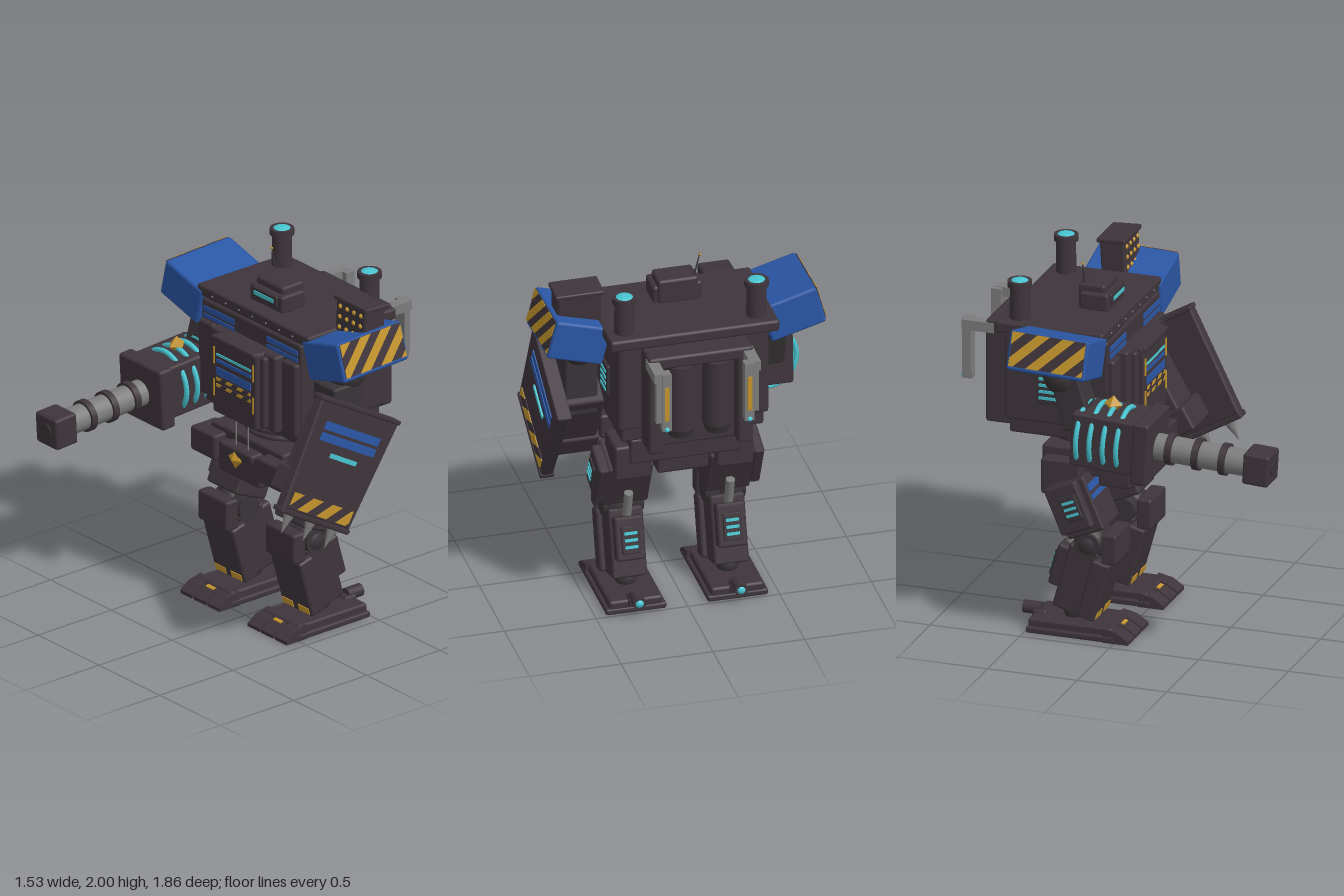
import * as THREE from 'three';
import { RoundedBoxGeometry } from 'three/addons/geometries/RoundedBoxGeometry.js';

const mat = (name, color) => Object.assign(new THREE.MeshStandardMaterial({ color }), { name });

export function createModel() {
  const armor = mat('armor', 0x3e353b), frame = mat('frame', 0x383337), blue = mat('blue paint', 0x2a56a4);
  const yellow = mat('yellow paint', 0xc4942c), cyan = mat('cyan glow', 0x48c4d0), steel = mat('steel', 0x7c7c7c);

  const put = (parent, name, geo, m, p, r = [0, 0, 0]) => {
    const mesh = new THREE.Mesh(geo, m);
    mesh.name = name;
    mesh.position.set(...p);
    mesh.rotation.set(...r);
    parent.add(mesh);
    return mesh;
  };
  const group = (parent, name, p = [0, 0, 0], r = [0, 0, 0]) => {
    const g = new THREE.Group();
    g.name = name;
    g.position.set(...p);
    g.rotation.set(...r);
    parent.add(g);
    return g;
  };
  // Chamfered block, plain block and round part helpers
  const block = (g, n, m, s, p, r) => put(g, n, new RoundedBoxGeometry(...s, 1, Math.min(0.015, Math.min(...s) * 0.3)), m, p, r);
  const box = (g, n, m, s, p, r) => put(g, n, new THREE.BoxGeometry(...s), m, p, r);
  const cyl = (g, n, m, r1, r2, h, p, r) => put(g, n, new THREE.CylinderGeometry(r1, r2, h, 24), m, p, r);
  const ball = (g, n, m, r, p) => put(g, n, new THREE.SphereGeometry(r, 24, 16), m, p);
  const shape = pts => new THREE.Shape(pts.map(a => new THREE.Vector2(...a)));
  const alongZ = [Math.PI / 2, 0, 0];

  // Keep the part of a polygon where sign * x <= limit
  const clip = (pts, sign, limit) => pts.flatMap((a, i) => {
    const b = pts[(i + 1) % pts.length], da = limit - sign * a[0], db = limit - sign * b[0], out = [];
    if (da >= 0) out.push(a);
    if (da * db < 0) { const t = da / (da - db); out.push([a[0] + (b[0] - a[0]) * t, a[1] + (b[1] - a[1]) * t]); }
    return out;
  });
  // Thin warning plate with diagonal stripes, facing local +z
  const hazard = (parent, w, h, pitch, p, r) => {
    const g = group(parent, 'hazardPlate', p, r);
    box(g, 'plateBase', armor, [w, h, 0.006], [0, 0, 0]);
    const lean = h * 0.5;
    for (let x = -w / 2 - lean; x < w / 2 + lean; x += pitch) {
      const stripe = [[x - lean, -h / 2], [x - lean + pitch / 2, -h / 2], [x + lean + pitch / 2, h / 2], [x + lean, h / 2]];
      const q = clip(clip(stripe, 1, w / 2), -1, w / 2);
      if (q.length > 2) put(g, 'stripe', new THREE.ExtrudeGeometry(shape(q), { depth: 0.004, bevelEnabled: false }), yellow, [0, 0, 0.002]);
    }
  };

  const model = new THREE.Group();
  model.name = 'walkerRobot';

  // Torso
  const torso = group(model, 'torso');
  block(torso, 'hull', armor, [0.82, 0.5, 0.58], [0, 1.43, -0.33]);
  block(torso, 'lowerHull', armor, [0.78, 0.1, 0.56], [0, 1.15, -0.32]);
  block(torso, 'topDeck', armor, [0.92, 0.065, 0.605], [0, 1.71, -0.352]);
  block(torso, 'chestPlate', armor, [0.54, 0.44, 0.08], [0, 1.36, -0.02]);
  block(torso, 'chestDoorSurround', armor, [0.43, 0.41, 0.08], [0, 1.36, 0.01]);
  block(torso, 'chestDoor', armor, [0.36, 0.44, 0.1], [0, 1.36, 0.027]);
  block(torso, 'chestBrow', armor, [0.35, 0.03, 0.06], [0, 1.57, 0.06]);
  box(torso, 'chestLight', cyan, [0.28, 0.014, 0.008], [0, 1.48, 0.078]);
  for (const y of [1.445, 1.385]) box(torso, 'chestBar', blue, [0.28, y > 1.4 ? 0.02 : 0.045, 0.008], [0, y, 0.078]);
  hazard(torso, 0.28, 0.018, 0.09, [0, 1.342, 0.078]);
  hazard(torso, 0.28, 0.018, 0.09, [0, 1.305, 0.078]);
  box(torso, 'latch', yellow, [0.06, 0.014, 0.008], [-0.05, 1.125, -0.037]);
  for (const s of [-1, 1]) {
    for (const y of [1.285, 1.47]) box(torso, 'bracket', yellow, [0.012, 0.095, 0.009], [s * 0.16, y, 0.078]);
    for (const [y, h] of [[1.63, 0.03], [1.59, 0.022]]) box(torso, 'chestStripe', blue, [0.25, h, 0.008], [s * 0.26, y, -0.038]);
    block(torso, 'chestRib', armor, [0.12, 0.42, 0.05], [s * 0.34, 1.36, -0.035]);
    block(torso, 'sideVent', frame, [0.03, 0.18, 0.13], [s * 0.41, 1.385, -0.37]);
    for (let i = 0; i < 4; i++) box(torso, 'ventLight', cyan, [0.008, 0.016, 0.1], [s * 0.426, 1.33 + i * 0.036, -0.37]);
  }
  for (let i = 0; i < 7; i++) ball(torso, 'rivet', steel, 0.006, [-0.33 + i * 0.11, 1.708, -0.05]);

  // Head cabin and antenna
  const head = group(model, 'head');
  block(head, 'cabin', armor, [0.27, 0.1, 0.16], [0, 1.785, -0.22]);
  block(head, 'cabinRoof', armor, [0.22, 0.14, 0.15], [0, 1.805, -0.24]);
  block(head, 'visorFrame', frame, [0.2, 0.06, 0.03], [0, 1.8, -0.143]);
  box(head, 'visor', cyan, [0.16, 0.022, 0.006], [0, 1.8, -0.127]);
  cyl(head, 'antenna', frame, 0.003, 0.005, 0.14, [-0.107, 1.932, -0.285], [0, 0, 0.25]);
  ball(head, 'antennaTip', yellow, 0.007, [-0.124, 1.993, -0.285]);

  // Chimneys, backpack, tanks and rear hooks
  const back = group(model, 'backpack');
  block(back, 'packCore', armor, [0.56, 0.57, 0.09], [0, 1.385, -0.645]);
  block(back, 'packRoof', armor, [0.57, 0.07, 0.17], [0, 1.64, -0.685]);
  for (const s of [-1, 1]) {
    const x = s * 0.36;
    cyl(back, 'chimney', armor, 0.052, 0.055, 0.2, [x, 1.83, -0.55]);
    cyl(back, 'chimneyCap', armor, 0.065, 0.065, 0.035, [x, 1.935, -0.55]);
    put(back, 'chimneyGlow', new THREE.SphereGeometry(0.05, 24, 8, 0, Math.PI * 2, 0, Math.PI / 2), cyan, [x, 1.945, -0.55]).scale.y = 0.35;
    block(back, 'packWall', armor, [0.085, 0.57, 0.17], [s * 0.243, 1.385, -0.685]);
    cyl(back, 'tank', armor, 0.08, 0.08, 0.38, [s * 0.1, 1.42, -0.715]);
    cyl(back, 'tankNozzle', frame, 0.08, 0.065, 0.05, [s * 0.1, 1.21, -0.715]);
    cyl(back, 'tankGlow', cyan, 0.055, 0.055, 0.006, [s * 0.1, 1.183, -0.715]);
    box(back, 'hookArm', steel, [0.06, 0.055, 0.18], [s * 0.26, 1.63, -0.81]);
    box(back, 'hookPost', steel, [0.05, 0.34, 0.055], [s * 0.225, 1.485, -0.885]);
    box(back, 'hookGuard', steel, [0.03, 0.28, 0.04], [s * 0.265, 1.5, -0.875]);
    box(back, 'hookStripe', yellow, [0.025, 0.2, 0.006], [s * 0.225, 1.48, -0.914]);
    ball(back, 'hookLight', cyan, 0.014, [s * 0.225, 1.325, -0.912]);
  }

  // Missile rack
  const rack = group(model, 'missileRack', [0.56, 1.8, -0.32], [-0.06, 0, 0]);
  block(rack, 'rackBody', armor, [0.24, 0.24, 0.14], [0, 0, 0]);
  block(rack, 'rackLid', armor, [0.265, 0.025, 0.16], [0, 0.11, 0]);
  for (let i = 0; i < 4; i++) for (let j = 0; j < 3; j++)
    ball(rack, 'missileTip', yellow, 0.014, [-0.083 + i * 0.056, -0.045 + j * 0.058, 0.066]);

  // Shoulders
  for (const s of [-1, 1]) {
    const pad = group(model, 'shoulderPad', [s * 0.585, 1.655, -0.265], [0.04, 0, s * 0.27]);
    block(pad, 'padBody', blue, [0.31, 0.215, 0.44], [0, 0, 0]);
    hazard(pad, 0.41, 0.185, 0.14, [s * 0.156, 0.008, 0], [0, s * Math.PI / 2, 0]);
    ball(model, 'shoulderJoint', frame, 0.105, [s * 0.53, 1.52, -0.25]);
  }

  // Gun arm
  const gun = group(model, 'gunArm', [-0.525, 1.2, 0], [0.06, 0, 0]);
  block(gun, 'upperArm', frame, [0.16, 0.34, 0.16], [0, 0.2, -0.2], [-0.35, 0, 0]);
  block(gun, 'gunBody', armor, [0.29, 0.3, 0.36], [0, 0.01, 0.02]);
  block(gun, 'gunCollar', armor, [0.345, 0.345, 0.09], [0, 0, 0.235]);
  for (let i = 0; i < 4; i++)
    put(gun, 'coil', new THREE.TorusGeometry(0.17, 0.014, 8, 40), cyan, [0, 0.01, -0.12 + i * 0.075]);
  put(gun, 'gunGem', new THREE.OctahedronGeometry(0.05), yellow, [0, 0.19, 0.02]);
  cyl(gun, 'barrel', steel, 0.072, 0.072, 0.56, [0, 0, 0.53], alongZ);
  for (const z of [0.36, 0.51, 0.66]) cyl(gun, 'barrelRing', armor, 0.087, 0.087, 0.036, [0, 0, z], alongZ);
  block(gun, 'muzzle', armor, [0.175, 0.175, 0.145], [0, 0, 0.855]);
  cyl(gun, 'muzzleBore', frame, 0.045, 0.045, 0.008, [0, 0, 0.928], alongZ);

  // Shield arm
  block(model, 'upperArm', frame, [0.18, 0.36, 0.2], [0.525, 1.3, -0.2]);
  const arm = group(model, 'shieldArm', [0, 1.09, -0.06], [-0.52, 0, 0]);
  block(arm, 'forearm', armor, [0.22, 0.42, 0.25], [0.51, 0.03, -0.05]);
  block(arm, 'fist', armor, [0.25, 0.14, 0.3], [0.51, -0.18, -0.04]);
  const outline = shape([[-0.25, -0.3], [0.25, -0.3], [0.29, 0.31], [-0.29, 0.31]]);
  put(arm, 'shield', new THREE.ExtrudeGeometry(outline, { depth: 0.05, bevelEnabled: true, bevelSize: 0.01, bevelThickness: 0.008, bevelSegments: 1 }), armor, [0.64, 0, 0], [0, Math.PI / 2, 0]);
  block(arm, 'shieldTopRim', armor, [0.08, 0.025, 0.61], [0.665, 0.312, 0]);
  block(arm, 'shieldBottomRim', armor, [0.08, 0.03, 0.53], [0.665, -0.32, 0]);
  for (const v of [0.18, 0.118]) box(arm, 'shieldStripe', blue, [0.008, 0.045, 0.42], [0.7, v, 0]);
  box(arm, 'shieldLight', cyan, [0.009, 0.025, 0.2], [0.703, 0.034, -0.01]);
  hazard(arm, 0.46, 0.085, 0.15, [0.699, -0.25, 0], [0, Math.PI / 2, 0]);
  for (const z of [-0.17, 0, 0.17])
    put(arm, 'spike', new THREE.ConeGeometry(0.032, 0.12, 12), steel, [0.665, -0.385, z], [Math.PI, 0, 0]);

  // Waist and pelvis
  const hips = group(model, 'pelvis');
  cyl(hips, 'waistCore', frame, 0.19, 0.19, 0.16, [0, 1.06, -0.28]);
  for (let i = 0; i < 3; i++) put(hips, 'waistRing', new THREE.TorusGeometry(0.205, 0.018, 8, 40), armor, [0, 1.03 + i * 0.034, -0.28], alongZ);
  block(hips, 'pelvisBlock', armor, [0.6, 0.15, 0.44], [0, 0.945, -0.23]);
  block(hips, 'pelvisCore', armor, [0.28, 0.16, 0.34], [0, 0.85, -0.24]);
  block(hips, 'pelvisFront', armor, [0.34, 0.17, 0.1], [0, 0.88, -0.005]);
  block(hips, 'pelvisLip', armor, [0.26, 0.05, 0.11], [0, 0.95, 0.01]);
  put(hips, 'pelvisGem', new THREE.OctahedronGeometry(0.055), yellow, [-0.01, 0.915, 0.06]).scale.z = 0.5;
  for (const s of [-1, 1]) {
    block(hips, 'hipGuard', armor, [0.2, 0.14, 0.18], [s * 0.27, 0.92, -0.02]);
    cyl(hips, 'waistPiston', steel, 0.004, 0.004, 0.16, [s * 0.05, 1.04, 0.02]);
  }

  // Legs, with the outer side along local +x
  const toeProfile = shape([[0.08, 0], [0.08, 0.02], [0.02, 0.06], [-0.06, 0.078], [-0.06, 0]]);
  for (const s of [-1, 1]) {
    const leg = group(model, s > 0 ? 'leftLeg' : 'rightLeg', [s * 0.277, 0, 0]);
    leg.scale.x = s;
    block(leg, 'hip', armor, [0.2, 0.2, 0.22], [0, 0.87, -0.32]);
    const thigh = group(leg, 'thigh', [0, 0.72, -0.225], [-0.4, 0, 0]);
    block(thigh, 'thighArmor', armor, [0.25, 0.31, 0.22], [0, 0, 0]);
    block(thigh, 'thighSidePlate', armor, [0.06, 0.27, 0.19], [0.145, 0.02, -0.02]);
    block(thigh, 'thighVent', frame, [0.03, 0.14, 0.1], [0.17, 0.02, 0]);
    for (const y of [-0.015, 0.02, 0.055]) box(thigh, 'thighLight', cyan, [0.008, 0.015, 0.07], [0.186, y, 0]);
    for (const [y, h] of [[0.085, 0.038], [0.033, 0.025]]) box(thigh, 'thighStripe', blue, [0.235, h, 0.008], [0, y, 0.112]);
    ball(leg, 'kneeJoint', frame, 0.093, [0.03, 0.51, -0.17]);
    cyl(leg, 'kneeAxle', frame, 0.07, 0.07, 0.22, [0, 0.51, -0.17], [0, 0, Math.PI / 2]);
    block(leg, 'kneePlate', armor, [0.24, 0.17, 0.085], [0, 0.505, -0.045]);
    cyl(leg, 'piston', steel, 0.024, 0.024, 0.22, [0, 0.53, -0.305], [-0.25, 0, 0]);
    const shin = group(leg, 'shin', [0, 0.265, -0.13], [0.27, 0, 0]);
    block(shin, 'shinArmor', armor, [0.25, 0.34, 0.1], [0, 0, 0]);
    block(shin, 'shinCore', armor, [0.19, 0.38, 0.17], [0, 0.01, -0.115]);
    block(shin, 'calf', armor, [0.16, 0.24, 0.09], [0, 0.045, -0.215]);
    block(shin, 'calfVent', frame, [0.1, 0.15, 0.02], [0, 0.04, -0.263]);
    for (let i = 0; i < 3; i++) box(shin, 'calfLight', cyan, [0.07, 0.016, 0.008], [0, 0.003 + i * 0.038, -0.275]);
    for (const x of [-0.065, 0.065]) box(shin, 'shinMark', yellow, [0.085, 0.038, 0.006], [x, -0.137, 0.051]);
    // Foot
    const foot = group(leg, 'foot');
    ball(foot, 'ankle', frame, 0.06, [0, 0.1, -0.27]);
    block(foot, 'sole', armor, [0.33, 0.035, 0.49], [0, 0.018, -0.245]);
    block(foot, 'footBody', armor, [0.29, 0.065, 0.47], [0, 0.045, -0.25]);
    for (const x of [-0.112, 0, 0.112])
      put(foot, 'toe', new THREE.ExtrudeGeometry(toeProfile, { depth: 0.098, bevelEnabled: false }), armor, [x + 0.049, 0, 0], [0, -Math.PI / 2, 0]);
    box(foot, 'toeMark', yellow, [0.06, 0.006, 0.02], [0, 0.068, 0.005], [0.3, 0, 0]);
    block(foot, 'heelMount', armor, [0.09, 0.05, 0.08], [0, 0.065, -0.46]);
    cyl(foot, 'heelThruster', armor, 0.035, 0.035, 0.1, [0, 0.085, -0.505], alongZ);
    ball(foot, 'heelLight', cyan, 0.027, [0, 0.085, -0.54]);
  }
  return model;
}
